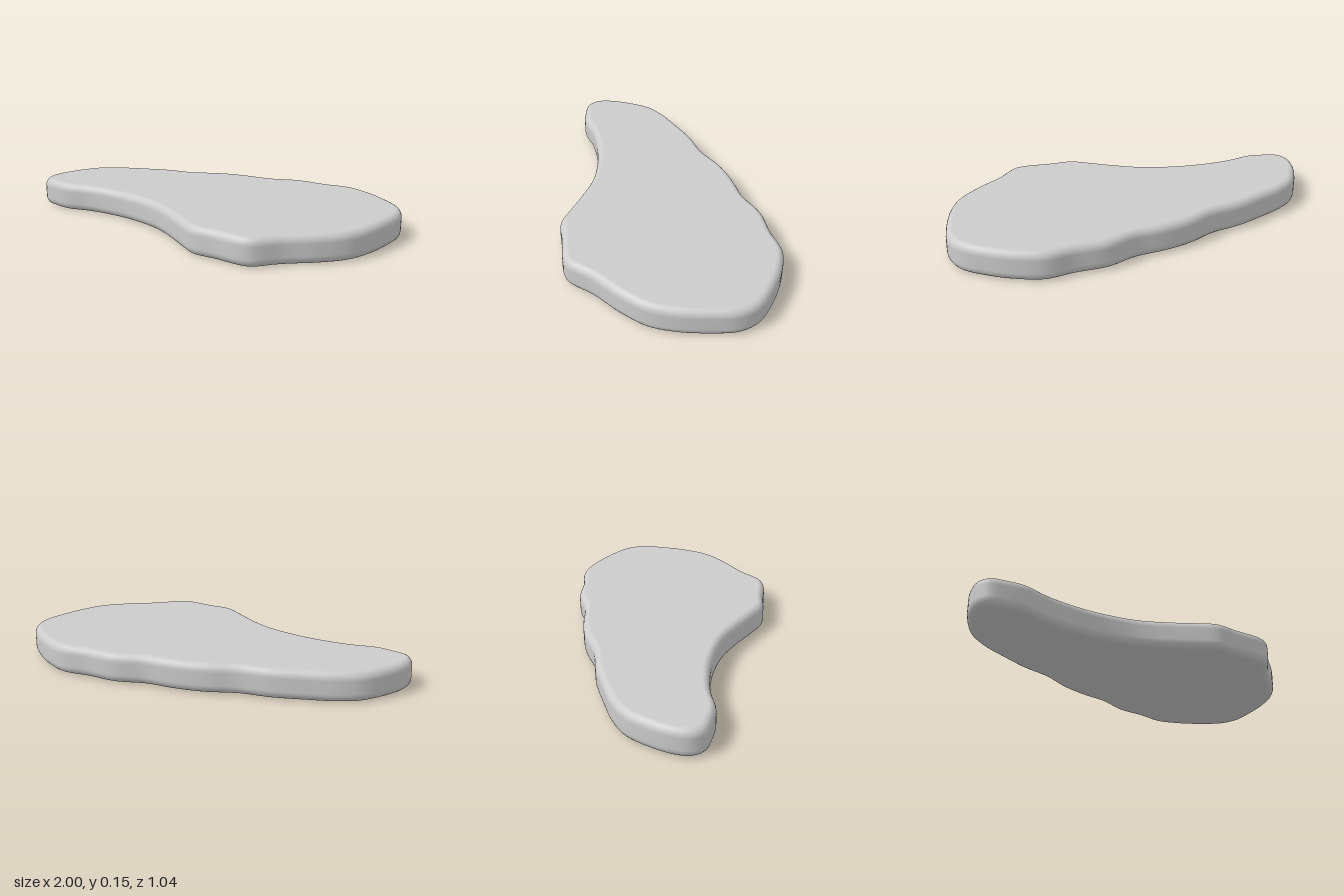
import * as THREE from 'three';
import { mergeVertices } from 'three/addons/utils/BufferGeometryUtils.js';

const HEIGHT = 0.148;
const BEVEL_HEIGHT = 0.042;
const BEVEL_WIDTH = 0.036;

// Plan of the slab as [x, z], running from the left tip along the back
const OUTLINE = [
  [-1, -0.13], [-0.975, -0.21], [-0.9, -0.315], [-0.81, -0.4], [-0.7, -0.445],
  [-0.55, -0.472], [-0.4, -0.492], [-0.24, -0.49], [-0.1, -0.52], [0, -0.527],
  [0.1, -0.522], [0.22, -0.508], [0.38, -0.527], [0.54, -0.497], [0.68, -0.483],
  [0.8, -0.41], [0.9, -0.315], [0.98, -0.205], [0.996, -0.1], [0.96, 0.02],
  [0.89, 0.17], [0.81, 0.275], [0.68, 0.36], [0.53, 0.43], [0.4, 0.512],
  [0.34, 0.513], [0.2, 0.472], [0.08, 0.442], [0, 0.37], [-0.1, 0.27],
  [-0.22, 0.168], [-0.37, 0.09], [-0.52, 0.04], [-0.68, 0.012], [-0.82, 0.01],
  [-0.91, -0.023], [-0.98, -0.065],
];

function slabGeometry() {
  // Smooth closed curve through the plan points
  const points = OUTLINE.map(([x, z]) => new THREE.Vector3(x, -z, 0));
  const curve = new THREE.CatmullRomCurve3(points, true);
  const contour = curve.getSpacedPoints(180).slice(0, -1);
  const shape = new THREE.Shape(contour.map((p) => new THREE.Vector2(p.x, p.y)));

  let geometry = new THREE.ExtrudeGeometry(shape, {
    depth: HEIGHT - 2 * BEVEL_HEIGHT,
    bevelEnabled: true,
    bevelThickness: BEVEL_HEIGHT,
    bevelSize: BEVEL_WIDTH,
    bevelOffset: -BEVEL_WIDTH,
    bevelSegments: 6,
  });
  geometry.rotateX(-Math.PI / 2);
  geometry.translate(0, BEVEL_HEIGHT, 0);

  // Smooth rim that blends into flat top and bottom faces
  geometry.deleteAttribute('normal');
  geometry.deleteAttribute('uv');
  geometry = mergeVertices(geometry, 1e-5);
  geometry.computeVertexNormals();
  const { position, normal } = geometry.attributes;
  for (let i = 0; i < position.count; i++) {
    const y = position.getY(i);
    if (y > HEIGHT - 1e-4) normal.setXYZ(i, 0, 1, 0);
    else if (y < 1e-4) normal.setXYZ(i, 0, -1, 0);
  }
  return geometry;
}

export function createModel() {
  const group = new THREE.Group();
  group.name = 'steppingStone';
  const slab = new THREE.Mesh(
    slabGeometry(),
    new THREE.MeshStandardMaterial({ color: 0xcccccc }),
  );
  slab.name = 'slab';
  group.add(slab);
  return group;
}
